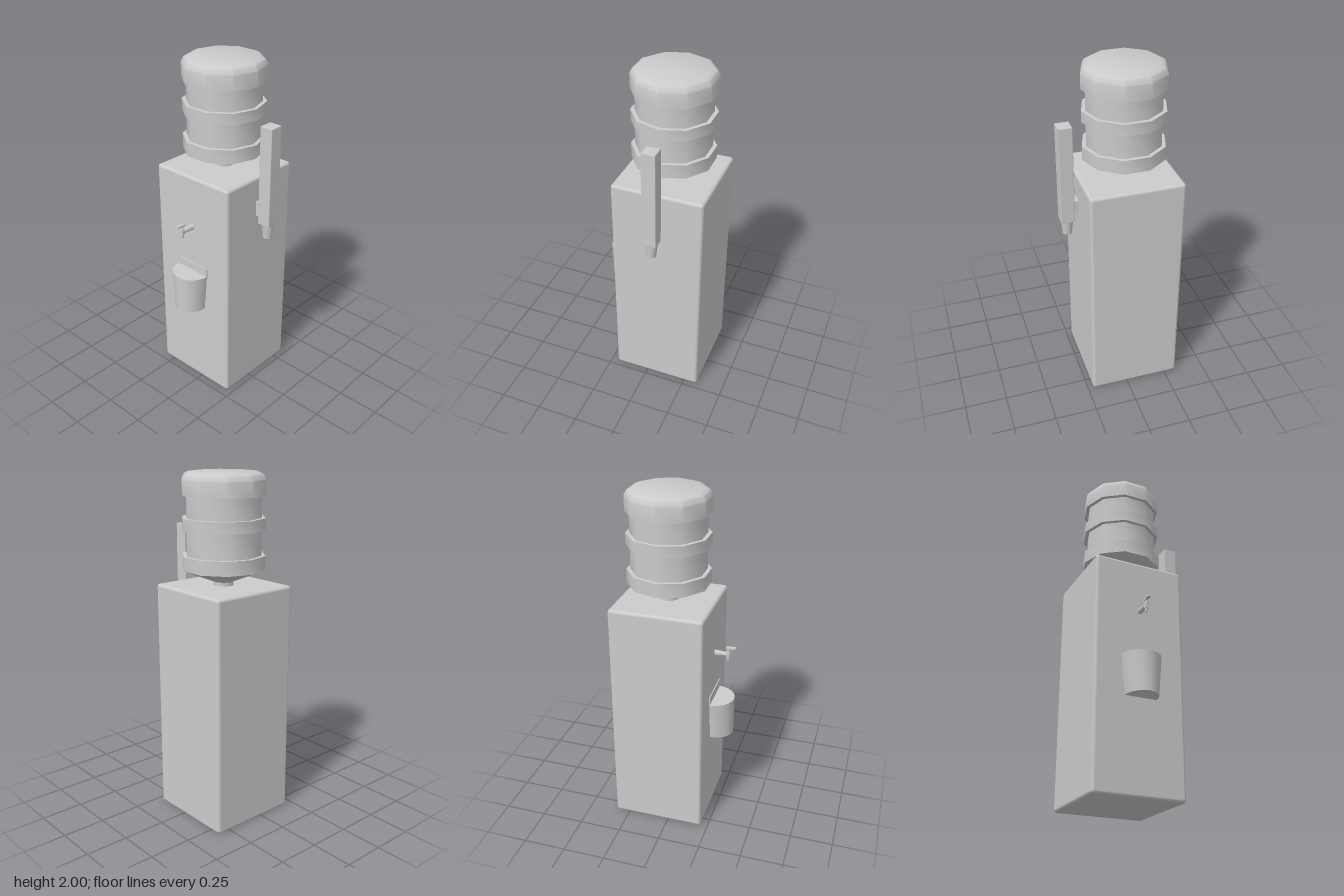
import * as THREE from 'three';
import { RoundedBoxGeometry } from 'three/addons/geometries/RoundedBoxGeometry.js';
import { toCreasedNormals } from 'three/addons/utils/BufferGeometryUtils.js';

const material = new THREE.MeshStandardMaterial({ color: 0xcccccc });
const CX = -0.053, CZ = -0.063; // axis shared by cabinet and bottle

export function createModel() {
  const model = new THREE.Group();

  const add = (name, geometry, x, y, z, parent = model) => {
    const mesh = new THREE.Mesh(geometry, material);
    mesh.name = name;
    mesh.position.set(x, y, z);
    parent.add(mesh);
    return mesh;
  };
  const group = (name) => {
    const g = new THREE.Group();
    g.name = name;
    model.add(g);
    return g;
  };
  const cylinder = (top, bottom, height, sides = 12) =>
    toCreasedNormals(new THREE.CylinderGeometry(top, bottom, height, sides), 0.7);

  // Cabinet with softened edges
  add('cabinet', new RoundedBoxGeometry(0.543, 1.375, 0.543, 2, 0.018), CX, 0.6875, CZ);

  // Ten-sided bottle: neck, cone, and three raised bands
  const bottleProfile = [
    [0.058, 1.365], [0.058, 1.397], [0.237, 1.468], [0.237, 1.548],
    [0.214, 1.548], [0.214, 1.69], [0.237, 1.69], [0.237, 1.755],
    [0.214, 1.755], [0.214, 1.875], [0.237, 1.875], [0.237, 1.96],
    [0.222, 1.988], [0.195, 2], [0, 2],
  ].map(([r, y]) => new THREE.Vector2(r, y));
  const bottle = new THREE.LatheGeometry(bottleProfile, 10, Math.PI / 2);
  add('bottle', toCreasedNormals(bottle, 0.72), CX, 0, CZ);

  // Cup holder on the model's left side
  const holder = group('cupHolder');
  add('cupHolderBracket', new THREE.BoxGeometry(0.04, 0.09, 0.062), 0.228, 1.185, CZ, holder);
  add('cupHolderTube', new RoundedBoxGeometry(0.08, 0.588, 0.082, 1, 0.004), 0.282, 1.393, CZ, holder);
  add('cupHolderOutlet', cylinder(0.036, 0.027, 0.09, 16), 0.282, 1.057, CZ, holder);

  // Drip tray: half cylinder whose width alone narrows toward the floor
  const tray = group('dripTray');
  const trayShape = new THREE.Shape();
  trayShape.absarc(0, 0, 0.117, 0, Math.PI, false);
  trayShape.closePath();
  const trayGeometry = new THREE.ExtrudeGeometry(trayShape, {
    depth: 0.233, bevelEnabled: false, curveSegments: 10,
  });
  trayGeometry.rotateX(Math.PI / 2);
  const p = trayGeometry.attributes.position;
  for (let i = 0; i < p.count; i++) {
    p.setX(i, p.getX(i) * (1 + 0.19 * p.getY(i) / 0.233));
  }
  add('dripTrayBody', toCreasedNormals(trayGeometry, 0.7), CX, 0.775, 0.213, tray);
  add('dripTrayBackplate', new THREE.BoxGeometry(0.232, 0.06, 0.012), CX, 0.795, 0.208, tray);

  // Tap: tapered pipe, upright valve with spout, and lever
  const tap = group('tap');
  const pipe = add('tapPipe', cylinder(0.011, 0.018, 0.1), CX, 1.063, 0.246, tap);
  pipe.rotation.x = Math.PI / 2;
  add('tapValve', cylinder(0.012, 0.012, 0.036), CX, 1.063, 0.287, tap);
  add('tapSpout', cylinder(0.009, 0.007, 0.03), CX, 1.039, 0.287, tap);
  add('tapStem', cylinder(0.006, 0.006, 0.03), CX, 1.09, 0.287, tap);
  const lever = add('tapLever', new THREE.BoxGeometry(0.02, 0.009, 0.056), CX, 1.105, 0.303, tap);
  lever.rotation.x = -0.06;

  return model;
}
